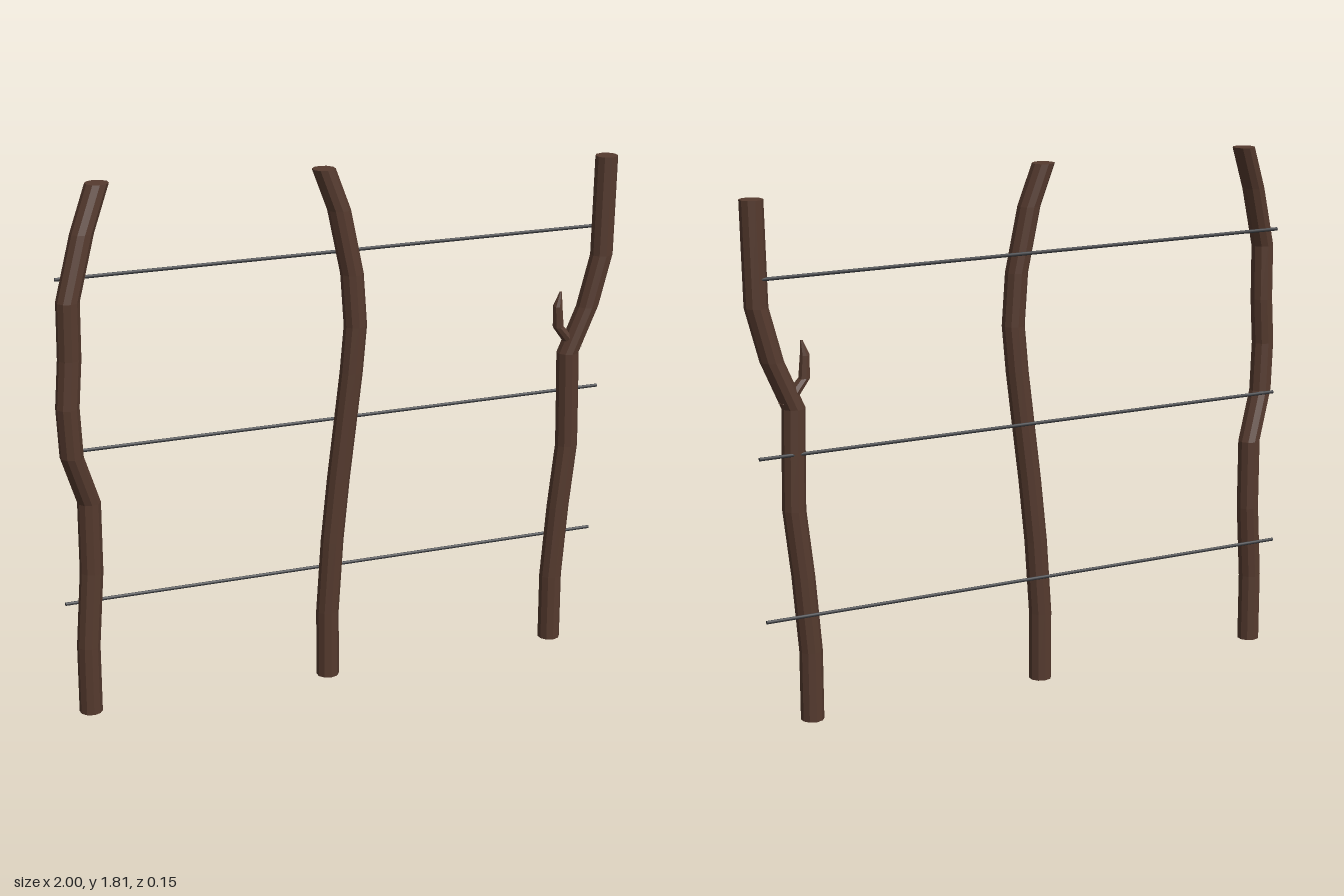
import * as THREE from 'three';

const wood = new THREE.MeshStandardMaterial({ color: 0x553a2e, flatShading: true });
const metal = new THREE.MeshStandardMaterial({ color: 0x3a3c40 });

// Bent stem: a cylinder whose level rings are moved to the points [x, y, z, radius]
function stem(name, points, sides = 10) {
  const rows = points.length - 1;
  const geometry = new THREE.CylinderGeometry(1, 1, rows, sides, rows);
  const p = geometry.attributes.position;
  for (let i = 0; i < p.count; i++) {
    const [x, y, z, r] = points[Math.round(p.getY(i) + rows / 2)];
    p.setXYZ(i, x + p.getX(i) * r, y, z + p.getZ(i) * r);
  }
  geometry.computeVertexNormals();
  const mesh = new THREE.Mesh(geometry, wood);
  mesh.name = name;
  return mesh;
}

// Post from [x, y] pairs; its bends lie in a vertical plane given by zAt(x)
const post = (name, path, zAt) =>
  stem(name, path.map(([x, y]) => [x, y, zAt(x), 0.039]));

// Straight thin wire along x
function wire(name, x0, x1, y0, y1, z) {
  const a = new THREE.Vector3(x0, y0, z);
  const b = new THREE.Vector3(x1, y1, z);
  const mesh = new THREE.Mesh(new THREE.CylinderGeometry(0.006, 0.006, a.distanceTo(b), 8), metal);
  mesh.position.copy(a).lerp(b, 0.5);
  mesh.quaternion.setFromUnitVectors(new THREE.Vector3(0, 1, 0), b.sub(a).normalize());
  mesh.name = name;
  return mesh;
}

export function createModel() {
  const fence = new THREE.Group();
  fence.name = 'wireFence';

  // Crooked posts
  fence.add(
    post('rightPost', [
      [-0.917, 0.01], [-0.917, 0.25], [-0.895, 0.51], [-0.895, 0.755], [-0.955, 0.93],
      [-0.964, 1.1], [-0.95, 1.26], [-0.948, 1.45], [-0.885, 1.66], [-0.822, 1.81],
    ], (x) => 0.035 - (x + 0.965) * 0.5),
    post('middlePost', [
      [-0.064, 0], [-0.064, 0.24], [-0.047, 0.5], [-0.025, 0.72], [0, 0.93],
      [0.02, 1.1], [0.034, 1.26], [0.022, 1.44], [-0.022, 1.66], [-0.073, 1.8],
    ], (x) => 0.017 + x * 0.1),
    post('leftPost', [
      [0.791, 0], [0.791, 0.24], [0.812, 0.5], [0.838, 0.73], [0.835, 0.93],
      [0.832, 1.07], [0.902, 1.23], [0.95, 1.41], [0.957, 1.755],
    ], () => 0.008),
  );

  // Broken twig on the left post
  fence.add(stem('twig', [
    [0.855, 1.09, 0.008, 0.028], [0.793, 1.165, 0.008, 0.02],
    [0.789, 1.24, 0.008, 0.017], [0.799, 1.29, 0.008, 0.004],
  ], 8));

  // Wires fixed to the back of the posts
  fence.add(
    wire('topWire', -0.975, 0.96, 1.512, 1.504, -0.022),
    wire('middleWire', -0.975, 0.965, 0.928, 0.922, -0.022),
    wire('bottomWire', -0.977, 0.963, 0.387, 0.379, -0.042),
  );
  return fence;
}
